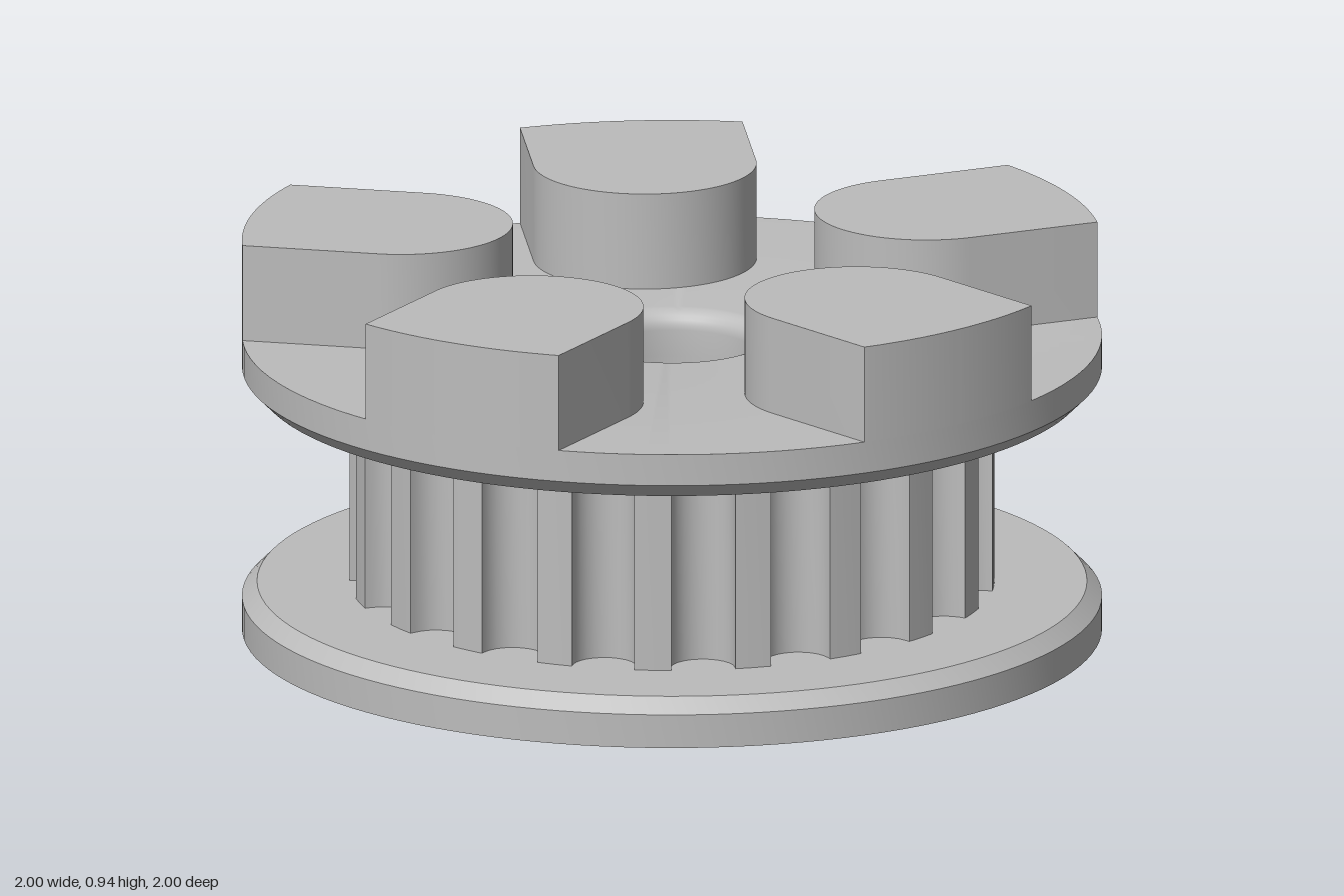
import * as THREE from 'three';
import { toCreasedNormals } from 'three/addons/utils/BufferGeometryUtils.js';

const BORE = 0.195;
const CREASE = 0.5;

export function createModel() {
  const group = new THREE.Group();
  const grey = new THREE.MeshStandardMaterial({ color: 0xbcbcbc });
  grey.name = 'plain grey';

  const add = (name, geometry) => {
    const mesh = new THREE.Mesh(toCreasedNormals(geometry, CREASE), grey);
    mesh.name = name;
    group.add(mesh);
    return mesh;
  };
  const lathe = (profile) =>
    new THREE.LatheGeometry(profile.map(([r, y]) => new THREE.Vector2(r, y)), 120);
  const extrudeUp = (shape, y0, y1, curveSegments) =>
    new THREE.ExtrudeGeometry(shape, { depth: y1 - y0, bevelEnabled: false, curveSegments })
      .rotateX(-Math.PI / 2)
      .translate(0, y0, 0);

  // Lower flange, chamfered on its upper rim
  add('lowerFlange', lathe([
    [BORE, 0], [1, 0], [1, 0.08], [0.965, 0.115], [BORE, 0.115], [BORE, 0],
  ]));

  // Upper flange, chamfered underneath, with a rounded bore mouth
  const mouth = [];
  for (let i = 0; i <= 6; i++) {
    const a = (i / 6) * Math.PI / 2;
    mouth.push([BORE + 0.045 * (1 - Math.sin(a)), 0.665 + 0.045 * Math.cos(a)]);
  }
  add('upperFlange', lathe([
    [BORE, 0.6], [0.965, 0.6], [1, 0.635], [1, 0.71], ...mouth, [BORE, 0.6],
  ]));

  // Toothed belt wheel: 20 round-bottomed grooves
  const teeth = 20, R = 0.75, half = 0.1, grooveR = R * Math.sin(half);
  const outline = [];
  for (let t = 0; t < teeth; t++) {
    const a = (t / teeth) * Math.PI * 2;
    const c = Math.cos(a), s = Math.sin(a);
    const put = (u, v) => outline.push(new THREE.Vector2(u * c - v * s, u * s + v * c));
    put(R * Math.cos(half), -grooveR);
    for (let i = 0; i <= 12; i++) {
      const b = (i / 12) * Math.PI;
      put(0.733 - grooveR * Math.sin(b), -grooveR * Math.cos(b));
    }
    put(R * Math.cos(half), grooveR);
    // tooth tip follows the outer circle
    const tip = Math.PI / teeth;
    put(R * Math.cos(tip), R * Math.sin(tip));
  }
  const wheel = new THREE.Shape(outline);
  wheel.holes.push(new THREE.Path().absarc(0, 0, BORE, 0, Math.PI * 2, true));
  add('toothedWheel', extrudeUp(wheel, 0.115, 0.6, 60));

  // Five drive lugs: round inner end, straight sides, outer face on the rim
  const lugR = 0.26, lugX = 0.645, rim = Math.asin(lugR);
  const lug = new THREE.Shape();
  lug.absarc(0, 0, 1, -rim, rim, false);
  lug.absarc(lugX, 0, lugR, Math.PI / 2, Math.PI * 1.5, false);
  lug.closePath();
  for (let i = 0; i < 5; i++) {
    add('driveLug' + (i + 1), extrudeUp(lug, 0.71, 0.94, 28)).rotation.y = (i / 5) * Math.PI * 2;
  }
  return group;
}
